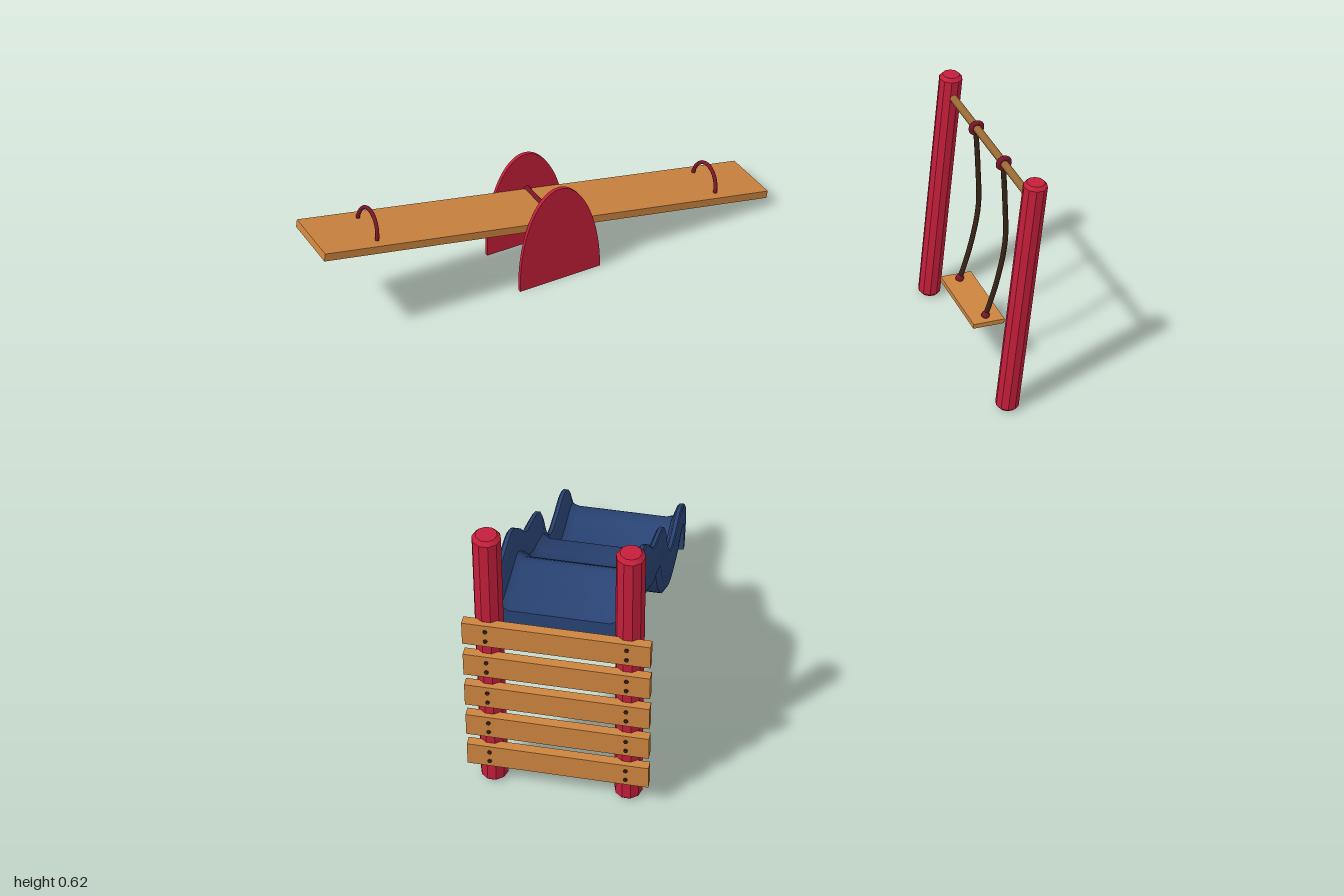
import * as THREE from 'three';
import { toCreasedNormals, mergeVertices } from 'three/addons/utils/BufferGeometryUtils.js';

const mat = (color) => new THREE.MeshStandardMaterial({ color });

export function createModel() {
  const red = mat(0xc41e3a), darkRed = mat(0x7a1528), wood = mat(0xcd853f);
  const beamWood = mat(0x9a6a35), rope = mat(0x3a2416), blue = mat(0x2a4475);
  blue.side = THREE.DoubleSide;

  const add = (parent, name, geometry, material, x = 0, y = 0, z = 0) => {
    const mesh = new THREE.Mesh(geometry, material);
    mesh.name = name;
    mesh.position.set(x, y, z);
    parent.add(mesh);
    return mesh;
  };
  const group = (parent, name, x, y, z, turn = 0) => {
    const g = new THREE.Group();
    g.name = name;
    g.position.set(x, y, z);
    g.rotation.y = turn;
    parent.add(g);
    return g;
  };

  // Round post with a bevelled top and bottom
  const postGeometry = () => {
    const profile = [[0, 0], [0.02, 0], [0.027, 0.008], [0.027, 0.612], [0.02, 0.62], [0, 0.62]];
    const lathe = new THREE.LatheGeometry(profile.map(([r, y]) => new THREE.Vector2(r, y)), 10);
    return toCreasedNormals(lathe, 0.5);
  };

  // Wavy trough: a U section swept down a curve through the wall rims
  const chuteGeometry = () => {
    const curve = new THREE.CatmullRomCurve3([
      [0, 0.488], [0.08, 0.488], [0.16, 0.485], [0.225, 0.435], [0.285, 0.374], [0.35, 0.347],
      [0.41, 0.315], [0.465, 0.215], [0.515, 0.162], [0.58, 0.152], [0.65, 0.151],
      [0.697, 0.125], [0.716, 0.08], [0.703, 0.0],
    ].map(([s, y]) => new THREE.Vector3(s, y, 0)));
    const section = [
      [-0.122, -0.09], [-0.131, -0.075], [-0.131, -0.004], [-0.128, 0], [-0.121, 0], [-0.117, -0.006],
      [-0.108, -0.042], [-0.094, -0.05], [0.094, -0.05], [0.108, -0.042], [0.117, -0.006],
      [0.121, 0], [0.128, 0], [0.131, -0.004], [0.131, -0.075], [0.122, -0.09],
    ];
    const rows = 60, n = section.length, pos = [], idx = [];
    for (let i = 0; i <= rows; i++) {
      const p = curve.getPointAt(i / rows), t = curve.getTangentAt(i / rows);
      const taper = 1 - 0.8 * THREE.MathUtils.smoothstep(i / rows, 0.76, 1);
      for (const [w, h] of section) {
        pos.push(p.x - t.y * h * taper, Math.max(0, p.y + t.x * h * taper), w);
      }
    }
    for (let i = 0; i < rows; i++) {
      for (let j = 0; j < n; j++) {
        const a = i * n + j, b = i * n + (j + 1) % n;
        idx.push(a, b, a + n, b, b + n, a + n);
      }
    }
    // End caps
    const outline = section.map(([w, h]) => new THREE.Vector2(w, h));
    for (const [a, b, c] of THREE.ShapeUtils.triangulateShape(outline, [])) {
      const e = rows * n;
      idx.push(a, b, c, e + a, e + c, e + b);
    }
    const g = new THREE.BufferGeometry();
    g.setAttribute('position', new THREE.Float32BufferAttribute(pos, 3));
    g.setIndex(idx);
    return toCreasedNormals(mergeVertices(g), 0.7);
  };

  const model = new THREE.Group();
  model.name = 'playground';

  // Slide with ladder
  const slide = group(model, 'slide', -0.8925, 0, 0.63, 0.5);
  add(slide, 'slideChute', chuteGeometry(), blue);
  for (const side of [-1, 1]) add(slide, 'slidePost', postGeometry(), red, 0, 0, side * 0.131);
  for (let i = 0; i < 5; i++) {
    const y = 0.083 + i * 0.0795;
    add(slide, 'ladderPlank', new THREE.BoxGeometry(0.018, 0.052, 0.35), wood, -0.027, y, 0);
    for (const side of [-1, 1]) {
      for (const dy of [-0.012, 0.012]) {
        const bolt = add(slide, 'plankBolt', new THREE.CylinderGeometry(0.004, 0.004, 0.004, 8),
          rope, -0.037, y + dy, side * 0.131);
        bolt.rotation.z = Math.PI / 2;
      }
    }
  }

  // Swing
  const swing = group(model, 'swing', 0.76, 0, 0.505, 0.971);
  for (const side of [-1, 1]) add(swing, 'swingPost', postGeometry(), red, side * 0.23, 0, 0);
  const beam = add(swing, 'swingBeam', new THREE.CylinderGeometry(0.009, 0.009, 0.46, 10), beamWood, 0, 0.57, 0);
  beam.rotation.z = Math.PI / 2;
  add(swing, 'swingSeat', new THREE.BoxGeometry(0.195, 0.012, 0.077), wood, 0, 0.14, 0);
  for (const side of [-1, 1]) {
    const x = side * 0.075;
    const path = new THREE.CatmullRomCurve3([
      [0.56, 0], [0.46, 0.015], [0.35, 0.027], [0.24, 0.018], [0.146, 0],
    ].map(([y, z]) => new THREE.Vector3(x, y, z)));
    add(swing, 'swingRope', new THREE.TubeGeometry(path, 24, 0.006, 6), rope);
    const ring = add(swing, 'ropeRing', new THREE.TorusGeometry(0.013, 0.006, 8, 16), darkRed, x, 0.57, 0);
    ring.rotation.y = Math.PI / 2;
    add(swing, 'seatKnot', new THREE.SphereGeometry(0.01, 10, 8), darkRed, x, 0.15, 0);
  }

  // Seesaw supports: two rounded plates
  const seesaw = group(model, 'seesaw', 0.396, 0, -0.503, -0.373);
  const plate = new THREE.Shape();
  plate.moveTo(-0.112, 0);
  plate.lineTo(0.112, 0);
  plate.absellipse(0, 0, 0.112, 0.265, 0, Math.PI, false, 0);
  const plateGeometry = new THREE.ExtrudeGeometry(plate, { depth: 0.01, bevelEnabled: false, curveSegments: 24 });
  plateGeometry.translate(0, 0, -0.005);
  for (const side of [-1, 1]) add(seesaw, 'seesawSupport', plateGeometry, red, 0, 0, side * 0.087);

  // Tilting board with axle and handles
  const board = group(seesaw, 'seesawBoard', 0, 0.155, 0);
  board.rotation.z = -0.19;
  add(board, 'boardPlank', new THREE.BoxGeometry(1.24, 0.02, 0.16), wood);
  const axle = add(board, 'seesawAxle', new THREE.CylinderGeometry(0.006, 0.006, 0.18, 8), darkRed, 0, 0.012, 0);
  axle.rotation.x = Math.PI / 2;
  for (const side of [-1, 1]) {
    const handle = add(board, 'seesawHandle', new THREE.TorusGeometry(0.053, 0.005, 8, 20, Math.PI),
      darkRed, side * 0.475, 0.008, 0);
    handle.rotation.y = Math.PI / 2;
  }
  return model;
}
